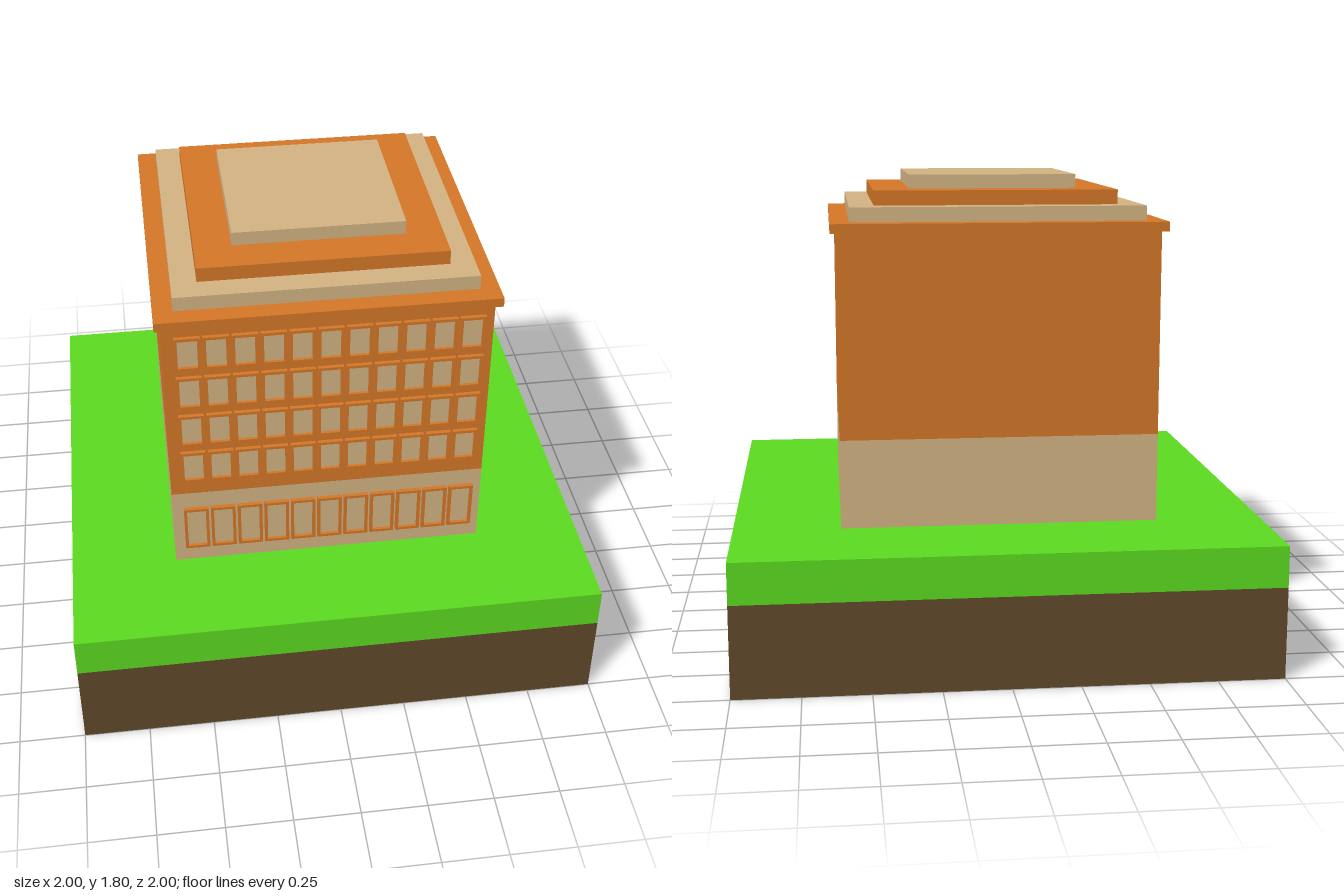
import * as THREE from 'three';

const material = (color) => new THREE.MeshStandardMaterial({ color });

export function createModel() {
  const model = new THREE.Group();
  const brown = material(0x62492a);
  const green = material(0x5cdc20);
  const orange = material(0xd57728);
  const tan = material(0xd4b483);

  // Square slab between two heights
  function slab(name, half, bottom, top, mat) {
    const mesh = new THREE.Mesh(new THREE.BoxGeometry(half * 2, top - bottom, half * 2), mat);
    mesh.name = name;
    mesh.position.y = (bottom + top) / 2;
    model.add(mesh);
  }

  // Ground block
  slab('soil', 1, 0, 0.345, brown);
  slab('grass', 1, 0.345, 0.5, green);

  // Building body and stepped roof
  slab('groundFloor', 0.598, 0.5, 0.835, tan);
  slab('upperFloors', 0.598, 0.835, 1.6, orange);
  slab('cornice', 0.622, 1.6, 1.635, orange);
  slab('lowerRoofStep', 0.55, 1.635, 1.69, tan);
  slab('middleRoofStep', 0.457, 1.69, 1.745, orange);
  slab('upperRoofStep', 0.318, 1.745, 1.797, tan);

  // Window: a raised frame around a recessed pane
  const wallZ = 0.598;
  const width = 0.094;
  const depth = 0.016;
  const border = 0.011;

  function rectangle(path, w, h) {
    path.moveTo(-w / 2, -h / 2);
    path.lineTo(w / 2, -h / 2);
    path.lineTo(w / 2, h / 2);
    path.lineTo(-w / 2, h / 2);
    path.closePath();
    return path;
  }

  function windowRow(name, bottom, top) {
    const row = new THREE.Group();
    row.name = name;
    const height = top - bottom;
    const innerW = width - border * 2;
    const innerH = height - border * 2;
    const outline = rectangle(new THREE.Shape(), width, height);
    outline.holes.push(rectangle(new THREE.Path(), innerW, innerH));
    const frameGeometry = new THREE.ExtrudeGeometry(outline, { depth, bevelEnabled: false });
    const paneGeometry = new THREE.BoxGeometry(innerW, innerH, 0.004);
    for (let i = 0; i < 11; i++) {
      const unit = new THREE.Group();
      unit.name = 'window';
      const frame = new THREE.Mesh(frameGeometry, orange);
      frame.name = 'windowFrame';
      const pane = new THREE.Mesh(paneGeometry, tan);
      pane.name = 'windowPane';
      pane.position.z = 0.002;
      unit.add(frame, pane);
      unit.position.x = 0.005 + (i - 5) * 0.1028;
      row.add(unit);
    }
    row.position.set(0, (bottom + top) / 2, wallZ);
    model.add(row);
  }

  windowRow('groundFloorWindows', 0.57, 0.764);
  for (let i = 0; i < 4; i++) {
    const bottom = 0.902 + i * 0.172;
    windowRow('upperFloorWindows', bottom, bottom + 0.138);
  }

  return model;
}
